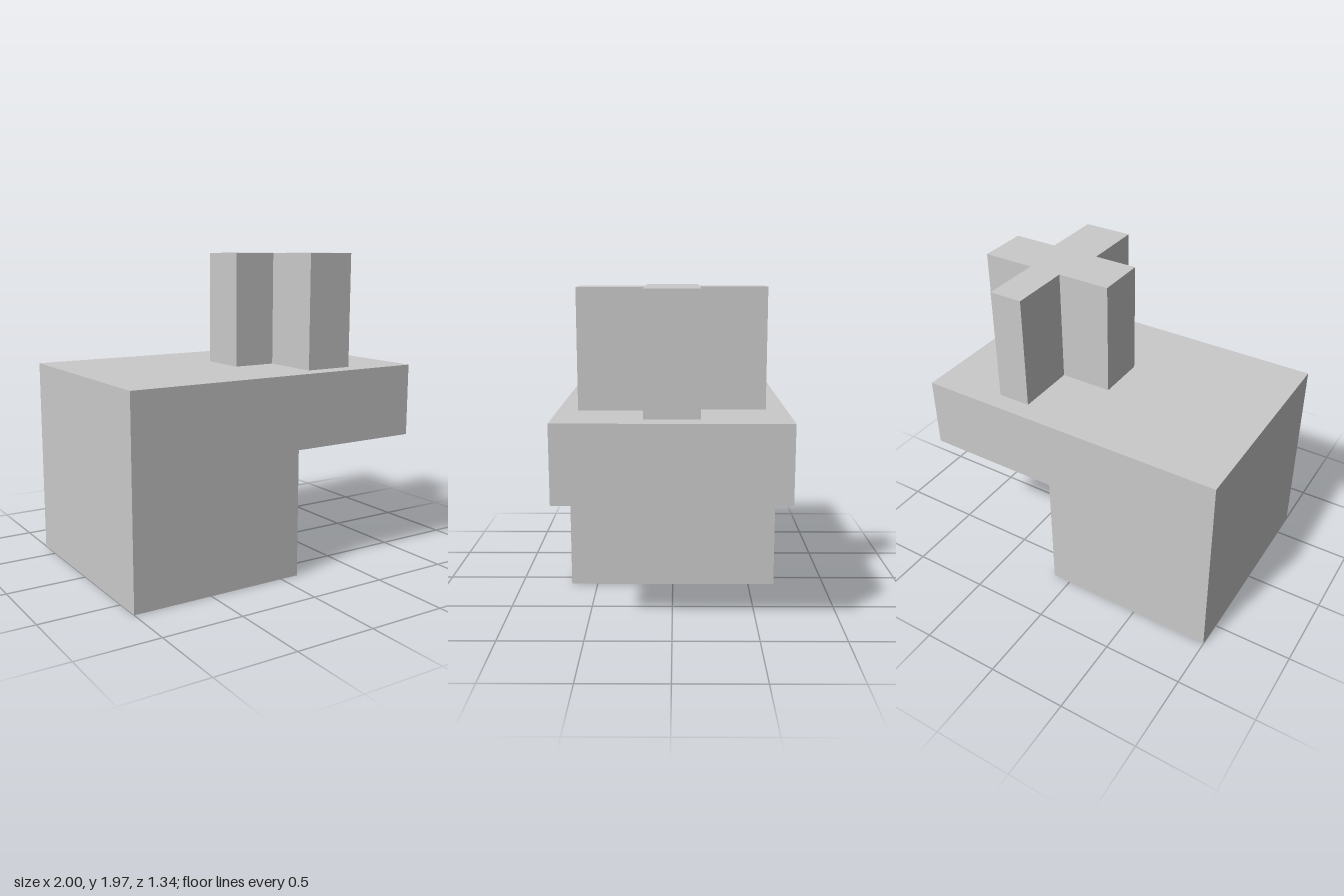
import * as THREE from 'three';

const grey = new THREE.MeshStandardMaterial({ color: 0xcacaca });
grey.name = 'light grey';

const outline = (points) => points.map(([x, y]) => new THREE.Vector2(x, y));

// Plan outlines are given as [x, z]; flip z so the extrusion rises along +y.
const plan = (points) => outline(points.map(([x, z]) => [x, -z]));

function part(name, geometry) {
  const mesh = new THREE.Mesh(geometry, grey);
  mesh.name = name;
  return mesh;
}

function extrudeUp(shape, y0, y1) {
  return new THREE.ExtrudeGeometry(shape, { depth: y1 - y0, bevelEnabled: false })
    .rotateX(-Math.PI / 2)
    .translate(0, y0, 0);
}

// Plus outline: side bar x0..x1 by +-w, back arm b0..b1 and front arm f0..f1 reaching +-d.
const plus = (x0, x1, w, b0, b1, f0, f1, d) => plan([
  [x0, -w], [b0, -w], [b0, -d], [b1, -d], [b1, -w], [x1, -w],
  [x1, w], [f1, w], [f1, d], [f0, d], [f0, w], [x0, w],
]);

export function createModel() {
  const group = new THREE.Group();
  group.name = 'interlockingBlock';
  const halfDepth = 0.67, stepX = 0.12, stepY = 0.795, topY = 1.255, socketTop = 0.72;

  // Lower block with a cross-shaped socket open at the bottom (outline and hole wind opposite ways)
  const base = new THREE.Shape(plan([
    [-1, halfDepth], [stepX, halfDepth], [stepX, -halfDepth], [-1, -halfDepth],
  ]));
  base.holes.push(new THREE.Path(plus(-0.88, 0, 0.15, -0.565, -0.32, -0.565, -0.32, 0.45)));
  group.add(part('socketBlock', extrudeUp(base, 0, socketTop)));

  // Upper block with the overhanging shelf
  const profile = new THREE.Shape(outline([
    [-1, socketTop], [stepX, socketTop], [stepX, stepY], [1, stepY], [1, topY], [-1, topY],
  ]));
  group.add(part('overhangBlock', new THREE.ExtrudeGeometry(profile, {
    depth: halfDepth * 2, bevelEnabled: false,
  }).translate(0, 0, -halfDepth)));

  // Cross-shaped peg, its front arm wider than its back arm
  const peg = new THREE.Shape(plus(0, 0.88, 0.16, 0.335, 0.545, 0.28, 0.595, 0.55));
  group.add(part('crossPeg', extrudeUp(peg, topY, 1.967)));

  return group;
}
